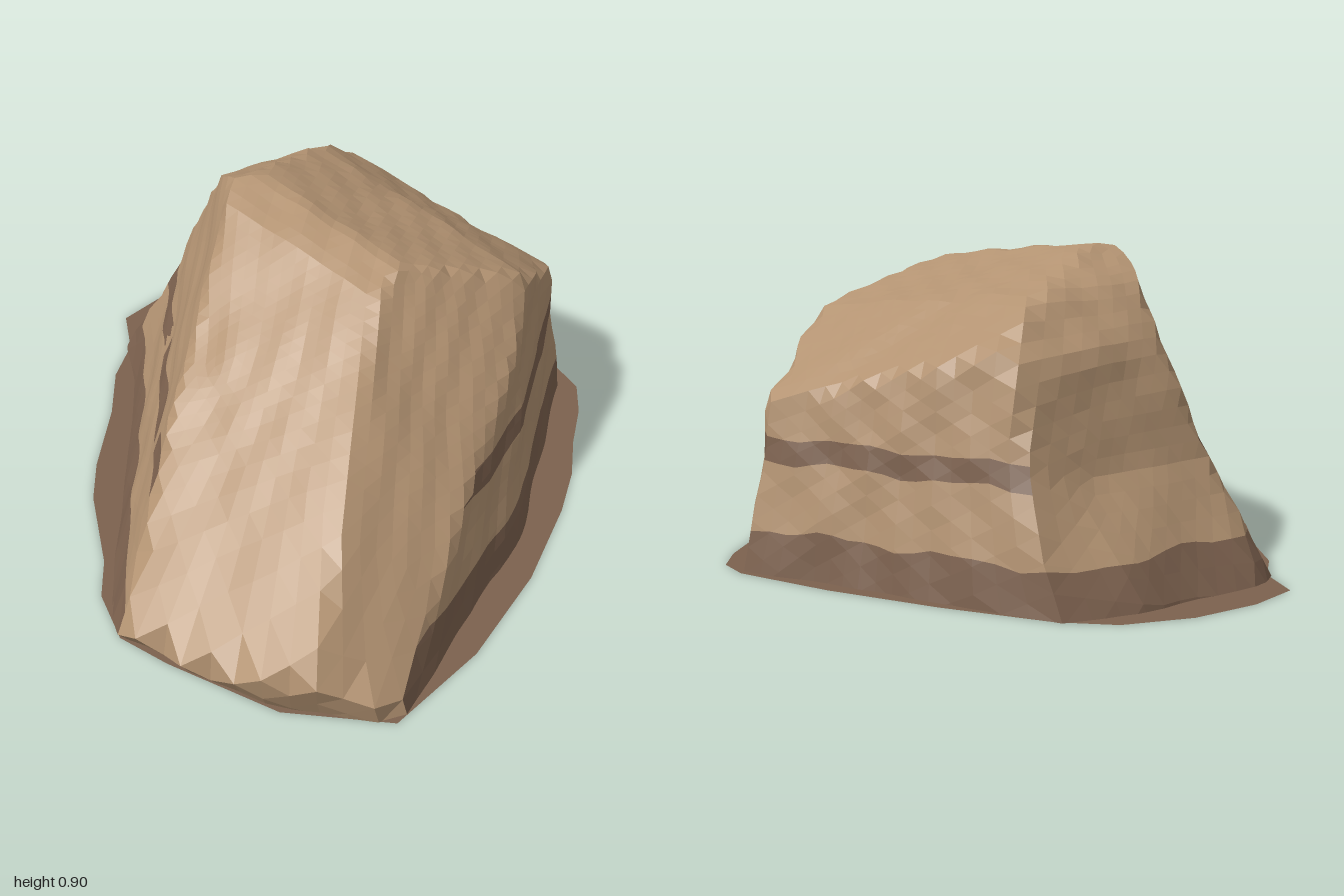
import * as THREE from 'three';

const V = (x, y, z) => new THREE.Vector3(x, y, z);
const CENTER = V(0.05, 0.28, -0.1);
const clamp01 = v => THREE.MathUtils.clamp(v, 0, 1);

// Cutting plane through three points, facing away from the centre.
// kind: 'wall' carries both dark strata, 'foot' only the lower one, 'bare' none.
function cut(kind, a, b, c) {
  const n = new THREE.Plane().setFromCoplanarPoints(V(...a), V(...b), V(...c)).normal;
  let d = V(...a).sub(CENTER).dot(n);
  if (d < 0) { n.negate(); d = -d; }
  return { kind, n, d };
}

const CUTS = [
  // steep walls: front left, left, back, right rear, right front
  cut('wall', [-0.9, 0, -0.1], [0.2, 0, 0.95], [-0.28, 0.87, 0.03]),
  cut('foot', [-0.68, 0.35, -0.1], [-0.61, 0.62, -0.1], [-0.59, 0.35, -0.7]),
  cut('wall', [-0.72, 0, -0.76], [0.3, 0, -0.94], [0.3, 0.5, -0.85]),
  cut('wall', [0.3, 0, -0.94], [0.75, 0, -0.2], [0.54, 0.6, -0.4]),
  cut('wall', [0.75, 0, -0.2], [0.96, 0, 0.45], [0.785, 0.33, 0.14]),
  // front slope and right bevel
  cut('bare', [-0.2, 0.845, 0.08], [0.34, 0.845, 0], [0.9, 0.14, 0.83]),
  cut('bare', [0.34, 0.84, 0], [1.0, 0.03, 0.55], [0.535, 0.63, -0.42]),
  // crown, falling from the peak to the front, the back and the left
  cut('bare', [-0.27, 0.91, -0.08], [0.33, 0.85, -0.08], [-0.27, 0.854, 0.12]),
  cut('bare', [-0.27, 0.91, -0.08], [0.33, 0.85, -0.08], [-0.27, 0.81, -0.38]),
  cut('bare', [-0.4, 0.765, -0.52], [0.3, 0.69, -0.52], [0.3, 0.53, -0.76]),
  cut('bare', [-0.27, 0.91, -0.08], [-0.46, 0.81, 0], [-0.46, 0.78, -0.3]),
  cut('bare', [-0.46, 0.81, -0.1], [-0.61, 0.63, -0.1], [-0.53, 0.63, -0.6]),
  // undercut toe
  cut('bare', [0.23, 0, 0.93], [0.75, 0, 0.795], [0.3, 0.07, 0.965]),
  cut('bare', [0.75, 0, 0.795], [1.0, 0, 0.585], [0.9, 0.09, 0.705]),
  // hidden underside, trimmed at the ground
  cut('bare', [0, -0.12, 0], [1, -0.12, 0], [0, -0.12, 1]),
];

function hit(dir) {
  let best = Infinity, kind = 'bare';
  for (const c of CUTS) {
    const k = dir.dot(c.n);
    if (k > 1e-6 && c.d / k < best) { best = c.d / k; kind = c.kind; }
  }
  return { r: best, kind };
}

// Gentle lumps on the surface
const lump = d => 1 + 0.009 * Math.sin(9 * d.x + 4 * d.y + 1) * Math.cos(8 * d.z - 5 * d.y)
  + 0.008 * Math.sin(19 * d.x - 13 * d.z + 2) * Math.sin(17 * d.y + 9 * d.z);

// Surface point in a direction, with the left foot flaring outwards
function surface(dir) {
  const p = dir.clone().multiplyScalar(hit(dir).r * lump(dir)).add(CENTER);
  const along = clamp01((0.1 - p.z) / 0.2) * clamp01((p.z + 1) / 0.45);
  p.x -= 0.13 * clamp01(1 - p.y / 0.33) * clamp01((-p.x - 0.3) / 0.35) * along;
  return p;
}

// Splits triangles where f = 0 into [f > 0, f <= 0]
function split(tris, f) {
  const side = (tri, s) => {
    const out = [];
    for (let i = 0; i < 3; i++) {
      const a = tri[i], b = tri[(i + 1) % 3], fa = s * f(a), fb = s * f(b);
      if (fa >= 0) out.push(a);
      if (fa * fb < 0) out.push(a.clone().lerp(b, fa / (fa - fb)));
    }
    const res = [];
    for (let i = 1; i + 1 < out.length; i++) res.push([out[0], out[i], out[i + 1]]);
    return res;
  };
  const above = [], below = [];
  for (const t of tris) {
    const v = t.map(f);
    if (Math.min(...v) >= 0) above.push(t);
    else if (Math.max(...v) <= 0) below.push(t);
    else { above.push(...side(t, 1)); below.push(...side(t, -1)); }
  }
  return [above, below];
}

function facets(tris) {
  const g = new THREE.BufferGeometry().setFromPoints(tris.flat());
  g.computeVertexNormals();
  return g;
}

export function createModel() {
  const group = new THREE.Group();
  const stone = new THREE.MeshStandardMaterial({ color: 0xb39372 });
  stone.name = 'sandstone';
  const dark = new THREE.MeshStandardMaterial({ color: 0x7c614e, side: THREE.DoubleSide });
  dark.name = 'dark stratum';
  const add = (name, geo, mat) => {
    const m = new THREE.Mesh(geo, mat);
    m.name = name;
    group.add(m);
  };

  // Sphere pushed onto the cutting planes, trimmed at the ground
  const pos = new THREE.IcosahedronGeometry(1, 15).attributes.position;
  const faces = { bare: [], foot: [], wall: [] };
  for (let i = 0; i < pos.count; i += 3) {
    const dirs = [0, 1, 2].map(k => new THREE.Vector3().fromBufferAttribute(pos, i + k).normalize());
    const mid = dirs[0].clone().add(dirs[1]).add(dirs[2]).normalize();
    faces[hit(mid).kind].push(dirs.map(surface));
  }
  for (const kind in faces) faces[kind] = split(faces[kind], p => p.y)[0];

  // Strata: a foot band and a wavy upper band
  const wave = p => 0.009 * Math.sin(17 * p.x + 13 * p.z) + 0.005 * Math.sin(31 * p.x - 22 * p.z);
  const footTop = p => p.y - 0.122 - wave(p);
  const [overFoot, wallFoot] = split(faces.wall, footTop);
  const [leftStone, leftFoot] = split(faces.foot, footTop);
  const [overLow, low] = split(overFoot, p => p.y - 0.312 - wave(p));
  const [high, mid] = split(overLow, p => p.y - 0.378 - 0.7 * wave(p));
  // gaps in the upper band on the front left wall
  const onFront = p => p.z > 0.5 * p.x + 0.05 && p.x < 0.2;
  const gap = t => {
    const x = (t[0].x + t[1].x + t[2].x) / 3;
    return t.every(onFront) && (Math.abs(x + 0.39) < 0.022 || Math.abs(x + 0.06) < 0.025);
  };

  add('rockBody', facets([...faces.bare, ...leftStone, ...low, ...high, ...mid.filter(gap)]), stone);
  add('footStratum', facets([...wallFoot, ...leftFoot]), dark);
  add('upperStratum', facets(mid.filter(t => !gap(t))), dark);

  // Flat skirt on the ground
  const outline = [
    [0.23, 0.93], [0.4, 0.9], [0.75, 0.8], [1, 0.6], [0.975, 0.25], [0.88, -0.1], [0.75, -0.4], [0.66, -0.56],
    [0.56, -0.69], [0.47, -0.83], [0.38, -0.93], [0.27, -0.965], [-0.05, -0.93], [-0.4, -0.855], [-0.72, -0.76],
    [-0.86, -0.67], [-0.96, -0.49], [-1, -0.28], [-0.985, -0.1], [-0.84, 0], [-0.75, 0.14], [-0.6, 0.28],
    [-0.42, 0.49], [-0.3, 0.6], [-0.05, 0.76], [0.06, 0.86],
  ];
  const skirt = new THREE.ShapeGeometry(new THREE.Shape(outline.map(([x, z]) => new THREE.Vector2(x, -z))));
  skirt.rotateX(-Math.PI / 2);
  add('groundSkirt', skirt, dark);
  return group;
}
